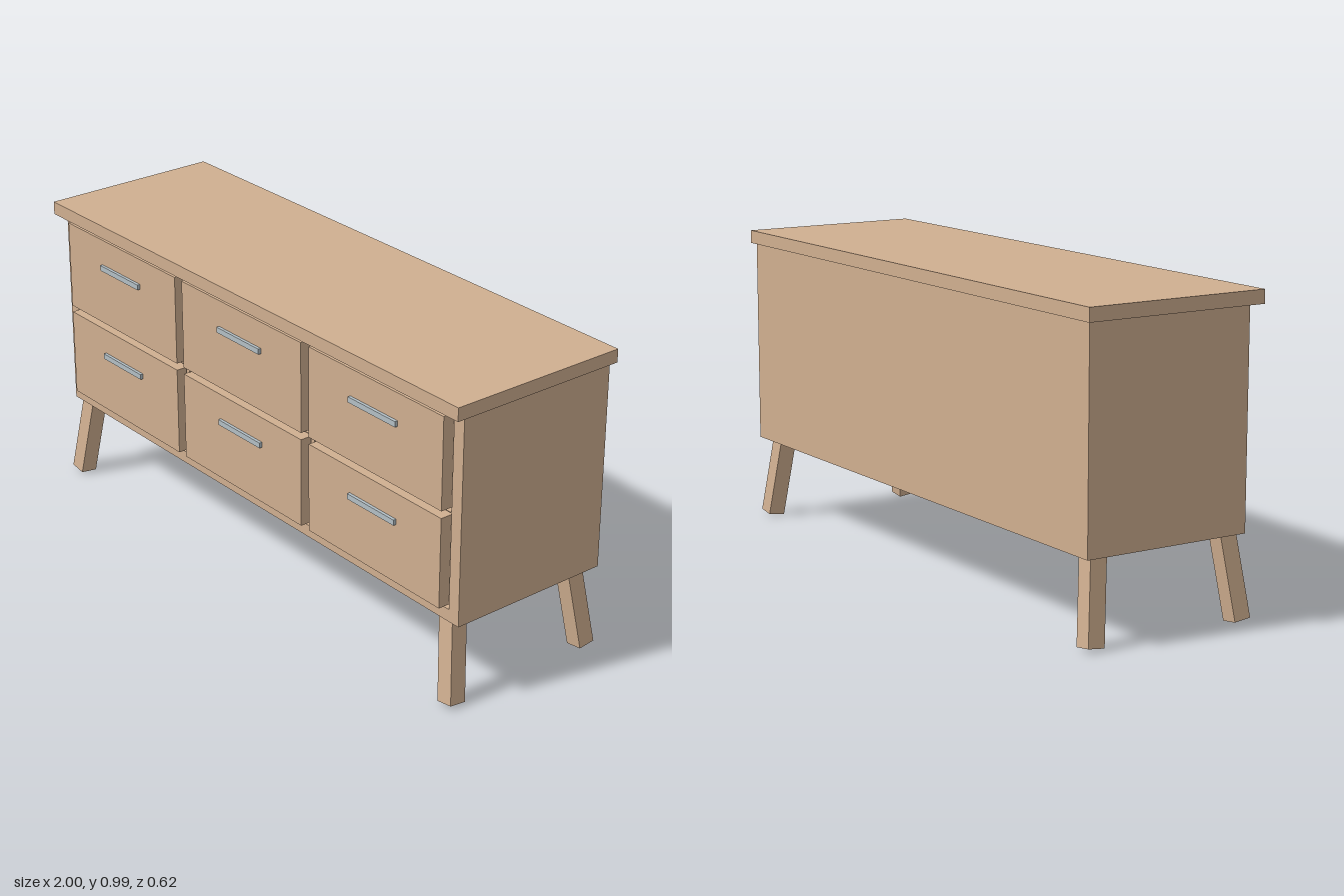
import * as THREE from 'three';

export function createModel() {
  const model = new THREE.Group();
  model.name = 'sideboard';
  const wood = new THREE.MeshStandardMaterial({ color: 0xd0af90 });
  wood.name = 'light wood';
  const metal = new THREE.MeshStandardMaterial({ color: 0xb4c0c6 });
  metal.name = 'grey metal';

  // Box given by its lower and upper corners
  function box(name, material, [x0, y0, z0], [x1, y1, z1]) {
    const mesh = new THREE.Mesh(new THREE.BoxGeometry(x1 - x0, y1 - y0, z1 - z0), material);
    mesh.position.set((x0 + x1) / 2, (y0 + y1) / 2, (z0 + z1) / 2);
    mesh.name = name;
    model.add(mesh);
  }

  function rectangle(path, x0, y0, x1, y1) {
    return path.moveTo(x0, y0).lineTo(x1, y0).lineTo(x1, y1).lineTo(x0, y1).closePath();
  }

  const columns = [-0.633, 0, 0.633];
  const rows = [
    { bottom: 0.323, top: 0.617, handle: 0.524 },
    { bottom: 0.64, top: 0.937, handle: 0.841 },
  ];
  const gap = 0.01;
  const halfWidth = 0.298;

  // Cabinet body with six drawer openings
  const front = rectangle(new THREE.Shape(), -0.983, 0.273, 0.983, 0.95);
  for (const x of columns) {
    for (const { bottom, top } of rows) {
      front.holes.push(rectangle(new THREE.Path(),
        x - halfWidth - gap, bottom - gap, x + halfWidth + gap, top + gap));
    }
  }
  const body = new THREE.Mesh(
    new THREE.ExtrudeGeometry(front, { depth: 0.548, bevelEnabled: false }), wood);
  body.position.z = -0.28;
  body.name = 'cabinetBody';
  model.add(body);

  box('backPanel', wood, [-0.983, 0.273, -0.295], [0.983, 0.95, -0.28]);
  box('tableTop', wood, [-1, 0.95, -0.308], [1, 0.993, 0.308]);

  // Drawers and their bar handles
  for (const x of columns) {
    for (const { bottom, top, handle } of rows) {
      box('drawer', wood, [x - halfWidth, bottom, -0.28], [x + halfWidth, top, 0.298]);
      box('drawerHandle', metal, [x - 0.105, handle - 0.009, 0.298], [x + 0.105, handle + 0.009, 0.308]);
    }
  }

  // Splayed legs, pivoting about the middle of the foot
  const legGeometry = new THREE.BoxGeometry(0.057, 0.285, 0.057).translate(0, 0.1425, 0);
  for (const sx of [-1, 1]) {
    for (const sz of [-1, 1]) {
      const leg = new THREE.Mesh(legGeometry, wood);
      leg.position.set(sx * 0.958, 0.0075, sz * 0.264);
      leg.rotation.set(-sz * 0.12, 0, sx * 0.14);
      leg.name = (sz > 0 ? 'front' : 'back') + (sx > 0 ? 'Left' : 'Right') + 'Leg';
      model.add(leg);
    }
  }
  return model;
}
